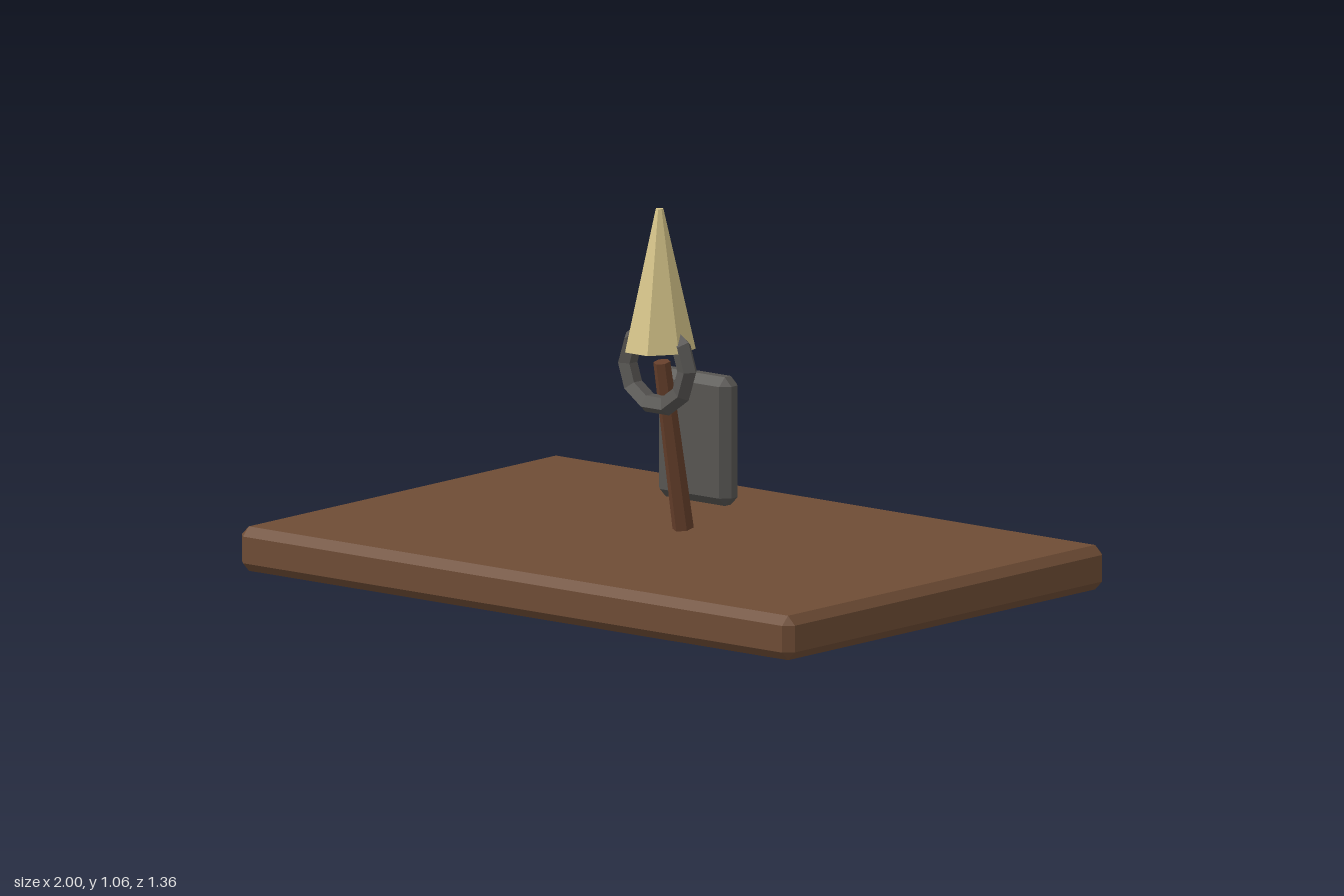
import * as THREE from 'three';
import { ConvexGeometry } from 'three/addons/geometries/ConvexGeometry.js';

const material = (name, color) => {
  const m = new THREE.MeshStandardMaterial({ color, flatShading: true });
  m.name = name;
  return m;
};

// Box with every edge cut at 45 degrees: each corner becomes three points.
function chamferedBox(w, h, d, bevel) {
  const half = [w / 2, h / 2, d / 2];
  const points = [];
  for (const sx of [-1, 1]) for (const sy of [-1, 1]) for (const sz of [-1, 1]) {
    for (let full = 0; full < 3; full++) {
      const [x, y, z] = half.map((v, axis) => (axis === full ? v : v - bevel));
      points.push(new THREE.Vector3(sx * x, sy * y, sz * z));
    }
  }
  return new ConvexGeometry(points);
}

export function createModel() {
  const group = new THREE.Group();
  const wood = material('board wood', 0x6e4c35);
  const stickWood = material('stick wood', 0x653f2b);
  const metal = material('dark iron', 0x575552);
  const pale = material('pale flame', 0xd4c388);

  const add = (name, geometry, mat, x, y, z) => {
    const mesh = new THREE.Mesh(geometry, mat);
    mesh.name = name;
    mesh.position.set(x, y, z);
    group.add(mesh);
    return mesh;
  };

  // Base board and bracket plate
  add('baseBoard', chamferedBox(2, 0.125, 1.36, 0.025), wood, 0, 0.0625, 0);
  add('backPlate', chamferedBox(0.262, 0.362, 0.074, 0.024), metal, 0, 0.388, -0.112);

  // Tapered stick leaning forward
  const stick = add('torchStick', new THREE.CylinderGeometry(0.024, 0.03, 0.49, 6), stickWood, 0, 0.38, -0.002);
  stick.rotation.x = 0.187;

  // Holding ring
  add('holdingRing', new THREE.TorusGeometry(0.11, 0.029, 5, 10), metal, 0, 0.61, 0.0625);

  // Seven-sided flame, slightly narrower across than deep
  const flame = add('flame', new THREE.CylinderGeometry(0.012, 0.11, 0.395, 7, 1, false, Math.PI), pale, 0.008, 0.858, 0.063);
  flame.scale.x = 0.85;

  return group;
}
